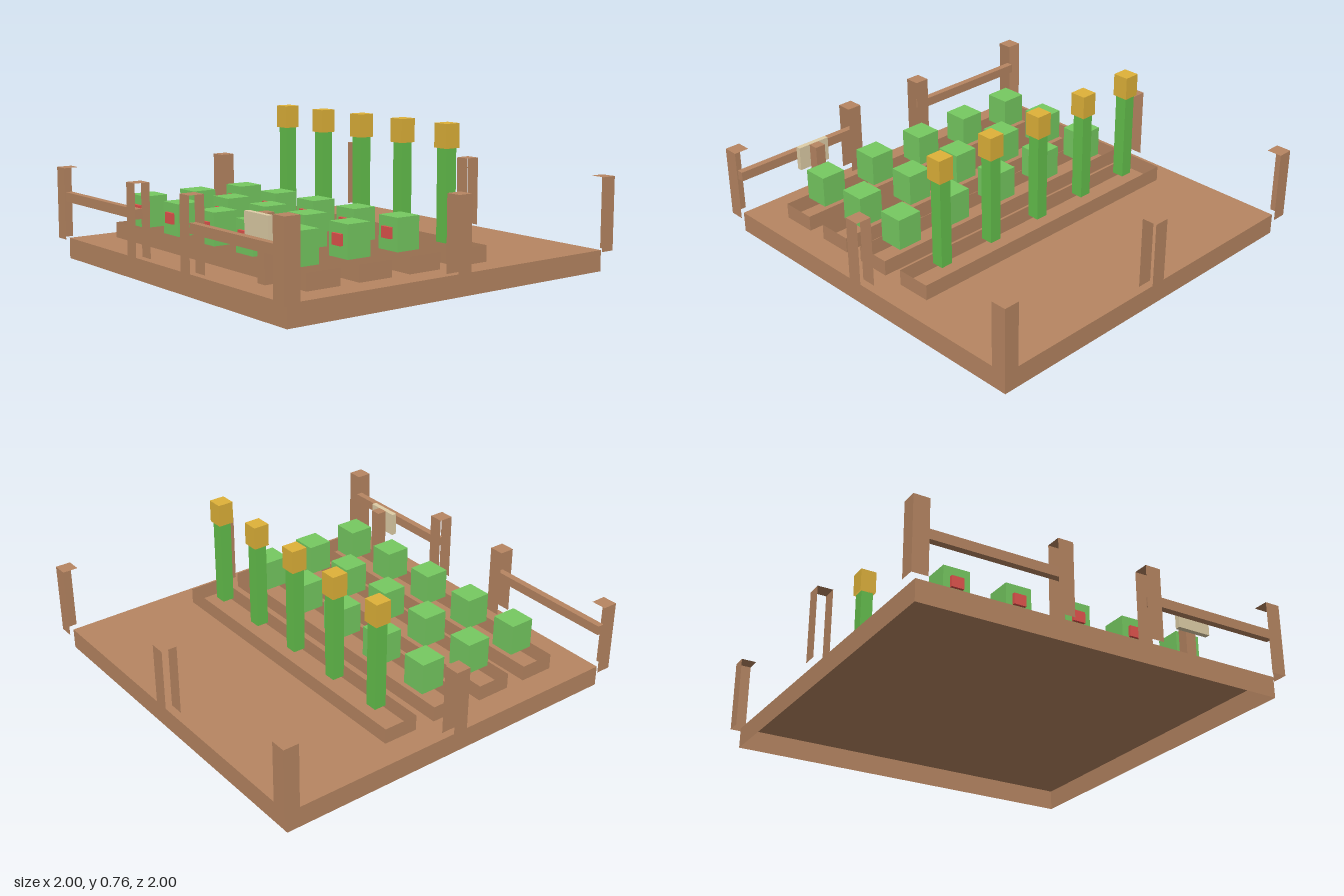
import * as THREE from 'three';

export function createModel() {
  const group = new THREE.Group();
  const mat = (name, color) => {
    const m = new THREE.MeshStandardMaterial({ color, side: THREE.DoubleSide });
    m.name = name;
    return m;
  };
  const wood = mat('brown wood', 0xb78662);
  const leaf = mat('leaf green', 0x76ca61);
  const stem = mat('stem green', 0x64c04c);
  const gold = mat('ripe gold', 0xdfb239);
  const red = mat('fruit red', 0xe2544d);
  const pale = mat('pale board', 0xdfcea7);

  // Box faces in the order in which BoxGeometry stores them
  const TOP = 2, BOTTOM = 3, BACK = 5;

  // Box by centre x and z, bottom and top y, width and depth; open on the listed faces
  function box(name, material, x, z, y0, y1, w, d, open = []) {
    const geometry = new THREE.BoxGeometry(w, y1 - y0, d);
    geometry.setIndex(Array.from(geometry.index.array).filter((_, i) => !open.includes(Math.floor(i / 6))));
    geometry.clearGroups();
    const mesh = new THREE.Mesh(geometry, material);
    mesh.position.set(x, (y0 + y1) / 2, z);
    mesh.name = name;
    group.add(mesh);
  }

  const ground = 0.107, bedTop = 0.187, postTop = 0.478, size = 0.08;

  // Ground slab, hollow underneath
  box('groundSlab', wood, 0, 0, 0, ground, 1.92, 1.92, [BOTTOM]);

  // Hollow fence post: a lid and only the listed side boards
  function fencePost(x, z, sides) {
    const post = new THREE.Group();
    post.name = 'fencePost';
    post.position.set(x, 0, z);
    const lid = new THREE.Mesh(new THREE.PlaneGeometry(size, size), wood);
    lid.name = 'postLid';
    lid.rotation.x = -Math.PI / 2;
    lid.position.y = postTop;
    post.add(lid);
    for (const [nx, nz] of sides) {
      const board = new THREE.Mesh(new THREE.PlaneGeometry(size, postTop - ground), wood);
      board.name = 'postBoard';
      board.position.set(nx * size / 2, (postTop + ground) / 2, nz * size / 2);
      board.rotation.y = Math.atan2(nx, nz);
      post.add(board);
    }
    group.add(post);
  }
  const edge = 0.96;
  for (const sx of [-1, 1]) {
    for (const sz of [-1, 1]) fencePost(sx * edge, sz * edge, [[sx, 0], [0, sz]]);
    fencePost(sx * edge, 0, [[1, 0], [-1, 0]]);
    fencePost(sx * 0.24, edge, [[0, 1], [0, -1]]);
    // Front rail on each side of the entrance
    box('fenceRail', wood, sx * 0.6, 0.957, 0.299, 0.348, 0.72, 0.036);
  }
  fencePost(0, -edge, [[0, 1], [0, -1]]);

  // Bed frames: three rows of bushes with fruit, then one row of tall stalks
  const rows = [0.667, 0.375, 0.083, -0.212];
  rows.forEach((z, row) => {
    box('bedFrame', wood, 0, z, ground, bedTop, 1.65, 0.185, [TOP, BOTTOM]);
    for (let i = -2; i <= 2; i++) {
      const x = i * 0.32;
      if (row < 3) {
        box('bush', leaf, x, z, bedTop, 0.348, 0.134, 0.132, [BOTTOM]);
        box('fruit', red, x, z + 0.071, 0.245, 0.3, 0.064, 0.02, [BACK]);
      } else {
        box('stalk', stem, x, z, bedTop, 0.64, 0.064, 0.064, [TOP, BOTTOM]);
        box('stalkHead', gold, x, z, 0.64, 0.758, 0.084, 0.084, [BOTTOM]);
      }
    }
  });

  // Sign beside the entrance
  box('signPost', wood, 0.585, 0.799, ground, 0.425, 0.056, 0.054, [BOTTOM]);
  box('signBoard', pale, 0.587, 0.839, 0.3, 0.425, 0.18, 0.027);

  return group;
}
